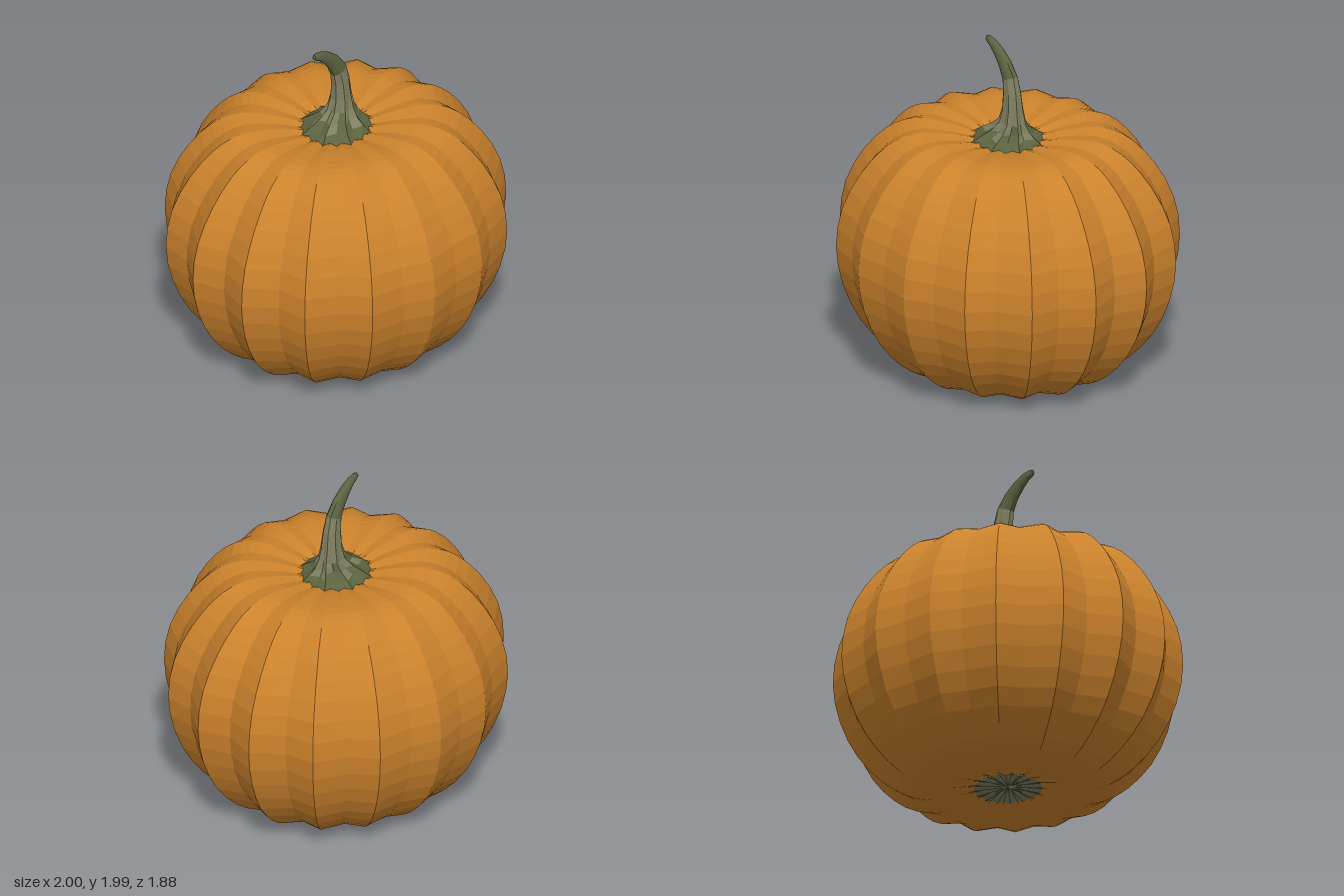
import * as THREE from 'three';

const orange = new THREE.MeshStandardMaterial({ color: 0xcb822c, flatShading: true });
orange.name = 'orange rind';
const paleGreen = new THREE.MeshStandardMaterial({ color: 0x7f7f60, flatShading: true });
paleGreen.name = 'pale stem green';
const darkGreen = new THREE.MeshStandardMaterial({ color: 0x5b6340, flatShading: true });
darkGreen.name = 'dark stem green';

// Skins a stack of equal-sized rings (listed bottom to top) into flat facets.
// pick(ring, side) chooses the material index of each quad.
function loft(name, rings, materials, pick = () => 0) {
  const n = rings[0].length;
  const buckets = materials.map(() => []);
  for (let i = 0; i < rings.length - 1; i++) {
    for (let j = 0; j < n; j++) {
      const k = (j + 1) % n;
      const a = rings[i][j], b = rings[i][k], c = rings[i + 1][j], d = rings[i + 1][k];
      buckets[pick(i, j)].push(a, c, b, b, c, d);
    }
  }
  const geometry = new THREE.BufferGeometry().setFromPoints(buckets.flat());
  let start = 0;
  buckets.forEach((points, m) => {
    geometry.addGroup(start, points.length, m);
    start += points.length;
  });
  geometry.computeVertexNormals();
  const mesh = new THREE.Mesh(geometry, materials.length > 1 ? materials : materials[0]);
  mesh.name = name;
  return mesh;
}

const SIDES = 32; // 16 ribs, each a ridge and a groove

// One ring of the ribbed body: odd corners are ridges, even corners grooves
function bodyRing(r, y) {
  const depth = THREE.MathUtils.clamp((r - 0.17) / 0.4, 0, 1);
  return Array.from({ length: SIDES }, (_, j) => {
    const t = (j / SIDES) * Math.PI * 2;
    const ridge = j % 2 === 1;
    const sx = ridge ? 1.018 : THREE.MathUtils.lerp(1.0, 0.94, depth);
    const sz = ridge ? 0.957 : THREE.MathUtils.lerp(0.957, 0.92, depth);
    const h = ridge ? y : 0.73 + (y - 0.73) * 0.98;
    return new THREE.Vector3(r * sx * Math.cos(t), h, r * sz * Math.sin(t));
  });
}

function makeBody() {
  const profile = [
    [0.18, 0.05], [0.3, 0.02], [0.44, 0.005], [0.58, 0.04], [0.72, 0.135], [0.86, 0.3],
    [0.96, 0.52], [1, 0.76], [0.965, 1.0], [0.86, 1.21], [0.73, 1.36], [0.62, 1.43],
    [0.51, 1.457], [0.4, 1.452], [0.29, 1.437], [0.17, 1.41],
  ].map(([r, y]) => new THREE.Vector2(r, y));
  const points = new THREE.SplineCurve(profile).getPoints(30);
  return loft('ribbed body', points.map((p) => bodyRing(p.x, p.y)), [orange]);
}

// Small scar under the body
function makeBlossomEnd() {
  const rings = [[0, 0.055], [0.1, 0.05], [0.195, 0.042]].map(([r, y]) => bodyRing(r, y));
  return loft('blossom end', rings, [paleGreen, darkGreen], (i, j) => (i === 0 && j % 8 < 2 ? 1 : 0));
}

// Curved stem: centre x, centre y, in-plane radius, depth radius, flute depth
function makeStem() {
  const sections = [
    [0, 1.405, 0.21, 0.205, 0.03], [0.005, 1.44, 0.155, 0.14, 0.12], [0.02, 1.475, 0.115, 0.095, 0.14],
    [0.037, 1.525, 0.083, 0.068, 0.1], [0.041, 1.6, 0.066, 0.056, 0.06], [0.036, 1.7, 0.059, 0.047, 0.04],
    [0.018, 1.79, 0.054, 0.038, 0.03], [-0.026, 1.862, 0.046, 0.032, 0], [-0.08, 1.918, 0.037, 0.027, 0],
    [-0.13, 1.954, 0.029, 0.021, 0], [-0.168, 1.969, 0.023, 0.016, 0], [-0.184, 1.972, 0.015, 0.011, 0],
    [-0.19, 1.973, 0, 0, 0],
  ];
  const sides = 16;
  const rings = sections.map(([x, y, rx, rz, flute], i) => {
    const p = sections[Math.max(i - 1, 0)], q = sections[Math.min(i + 1, sections.length - 1)];
    // the flared foot stays level, the rest follows the bend
    const along = i < 4 ? new THREE.Vector2(0, 1) : new THREE.Vector2(q[0] - p[0], q[1] - p[1]).normalize();
    return Array.from({ length: sides }, (_, j) => {
      const t = (j / sides) * Math.PI * 2;
      const s = j % 2 ? 1 + flute : 1 - flute;
      const u = Math.cos(t) * rx * s;
      return new THREE.Vector3(x + along.y * u, y - along.x * u, Math.sin(t) * rz * s);
    });
  });
  // dark hook, pale shaft, streaked foot
  const pick = (i, j) => (i >= 6 || i === 0 || (i === 1 && j % 3 !== 0) || (i === 2 && j % 4 === 1) ? 1 : 0);
  return loft('stem', rings, [paleGreen, darkGreen], pick);
}

export function createModel() {
  const model = new THREE.Group();
  model.name = 'pumpkin';
  model.add(makeBody(), makeBlossomEnd(), makeStem());
  return model;
}
